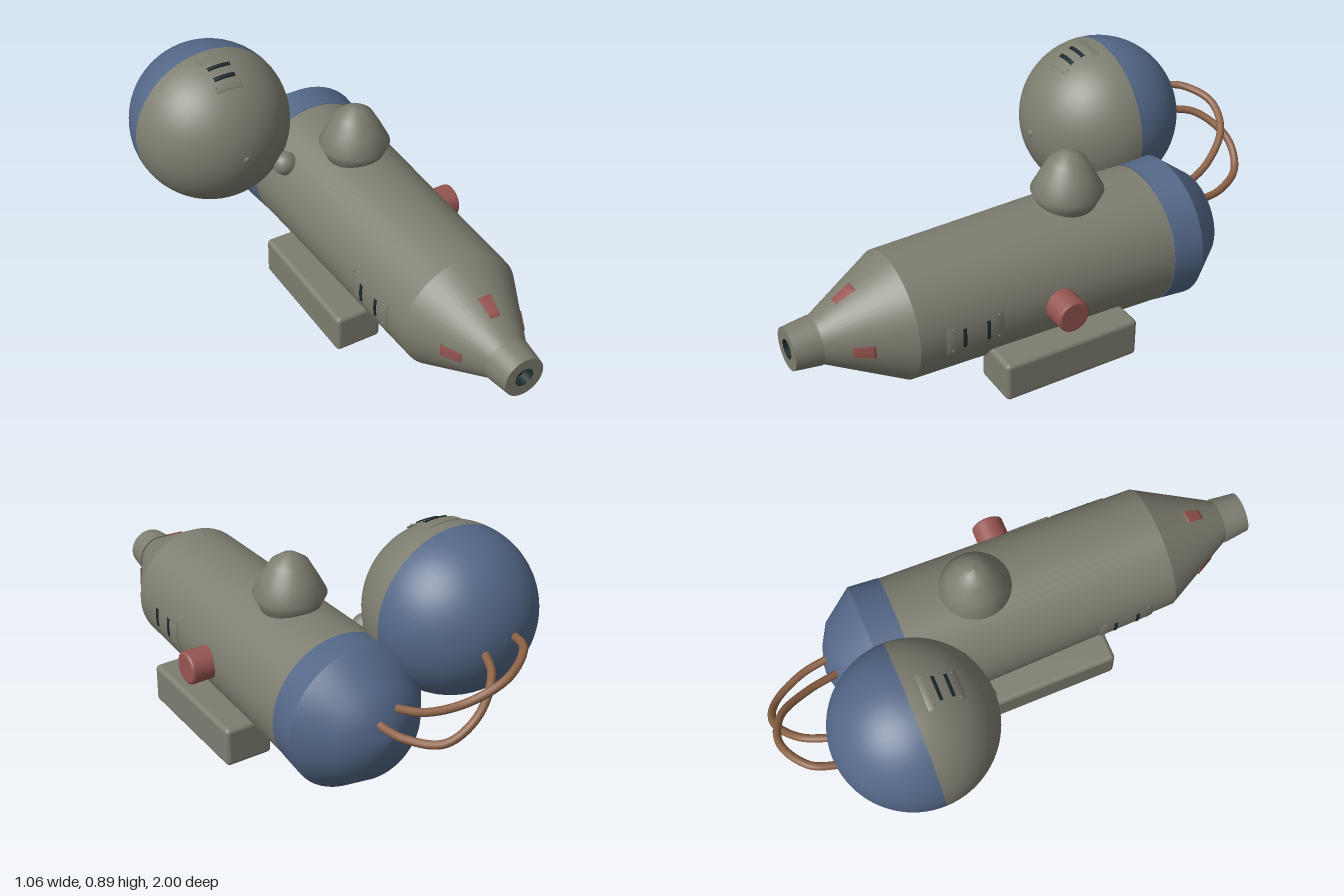
import * as THREE from 'three';
import { RoundedBoxGeometry } from 'three/addons/geometries/RoundedBoxGeometry.js';

const material = (name, color) => {
  const m = new THREE.MeshStandardMaterial({ color, side: THREE.DoubleSide });
  m.name = name;
  return m;
};

export function createModel() {
  const grey = material('hull grey', 0x7d7d70);
  const blue = material('rear blue', 0x536787);
  const red = material('signal red', 0x965551);
  const brown = material('hose brown', 0x8b6146);
  const dark = material('slot dark', 0x1c292d);

  const model = new THREE.Group();
  const body = new THREE.Group();
  body.name = 'body';
  body.position.set(0.19, 0.28, 0);
  const tank = new THREE.Group();
  tank.name = 'sphereTank';
  tank.position.set(-0.22, 0.577, -0.52);
  model.add(body, tank);

  const add = (parent, name, geometry, mat, x = 0, y = 0, z = 0) => {
    const mesh = new THREE.Mesh(geometry, mat);
    mesh.name = name;
    mesh.position.set(x, y, z);
    parent.add(mesh);
    return mesh;
  };
  const vectors = (points) => points.map(([r, h]) => new THREE.Vector2(r, h));

  // Surface turned round the z axis; points are [radius, z] from back to front.
  // Angle PI/2 is the left side, PI the top, 3PI/2 the right side.
  const turned = (points, start = 0, length = Math.PI * 2, segments = 56) =>
    new THREE.LatheGeometry(vectors(points), segments, start, length).rotateX(Math.PI / 2);

  // Curved plate lying on a turned surface whose radius at z is radiusAt(z).
  const plate = (radiusAt, z0, z1, angle, half, rise) => {
    const points = [[radiusAt(z0) - 0.004, z0]];
    for (let i = 0; i <= 6; i++) {
      const z = z0 + (z1 - z0) * i / 6;
      points.push([radiusAt(z) + rise, z]);
    }
    points.push([radiusAt(z1) - 0.004, z1]);
    return turned(points, angle - half, half * 2, 8);
  };

  // Vent: curved panel, two dark slots and four corner bolts
  const vent = (parent, radiusAt, z0, z1, slots, bolts, angle, half) => {
    const group = new THREE.Group();
    group.name = 'vent';
    parent.add(group);
    add(group, 'ventPanel', plate(radiusAt, z0, z1, angle, half, 0.007), grey);
    for (const z of slots) {
      add(group, 'ventSlot', plate(radiusAt, z - 0.006, z + 0.006, angle, half * 0.7, 0.011), dark);
    }
    for (const z of bolts) {
      for (const side of [-1, 1]) {
        const a = angle + side * half * 0.82;
        const r = radiusAt(z) + 0.006;
        add(group, 'ventBolt', new THREE.SphereGeometry(0.005, 8, 6), grey,
          r * Math.sin(a), -r * Math.cos(a), z);
      }
    }
  };

  // Main hull, with a crisp edge between the bands
  add(body, 'hull', turned([[0.265, -0.43], [0.24, 0.61]]), grey);
  add(body, 'noseCone', turned([[0.24, 0.61], [0.085, 0.9]]), grey);
  add(body, 'nozzle', turned([[0.091, 0.9], [0.079, 1]]), grey);
  add(body, 'nozzleCollar', turned([[0.08, 0.9], [0.091, 0.9]]), grey);
  add(body, 'nozzleRim', new THREE.RingGeometry(0.037, 0.079, 48), grey, 0, 0, 1);
  add(body, 'nozzleBore', turned([[0.037, 0.96], [0.037, 1]]), dark);
  add(body, 'nozzleBack', new THREE.CircleGeometry(0.037, 32), dark, 0, 0, 0.96);

  // Blue stern
  add(body, 'sternBand', turned([[0.276, -0.55], [0.267, -0.43]]), blue);
  add(body, 'sternCap', turned(
    [[0, -0.743], [0.03, -0.74], [0.1, -0.72], [0.18, -0.675], [0.276, -0.55]]), blue);

  // Four red markers around the nose cone
  const coneRadius = (z) => 0.24 - (z - 0.61) * 0.534;
  for (let i = 0; i < 4; i++) {
    add(body, 'noseMarker', plate(coneRadius, 0.745, 0.815, i * Math.PI / 2, 0.15, 0.005), red);
  }

  // Side vents
  const hullRadius = (z) => 0.24 + (0.61 - z) * 0.024;
  for (const angle of [Math.PI / 2, Math.PI * 1.5]) {
    vent(body, hullRadius, 0.29, 0.51, [0.352, 0.445], [0.308, 0.49], angle, 0.22);
  }

  // Dome on the back of the hull
  add(model, 'topDome', new THREE.LatheGeometry(vectors([
    [0.1, 0.5], [0.115, 0.535], [0.135, 0.577], [0.105, 0.635], [0.07, 0.697], [0.03, 0.725], [0, 0.731],
  ]), 40), grey, 0.19, 0, -0.12);

  // Red knob on the left side
  add(model, 'sideKnob', new THREE.LatheGeometry(vectors([
    [0.063, 0], [0.063, 0.11], [0.061, 0.116], [0.055, 0.12], [0.054, 0.12], [0, 0.12],
  ]), 36).rotateZ(-Math.PI / 2), red, 0.411, 0.277, 0.055);

  // Landing blocks
  for (const side of [-1, 1]) {
    add(model, 'landingBlock', new RoundedBoxGeometry(0.186, 0.155, 0.55, 3, 0.018), grey,
      0.19 + side * 0.241, 0.0775, 0.05);
  }

  // Spherical tank, front half grey and rear half blue
  const half = (sign) => {
    const points = [];
    for (let i = 0; i <= 20; i++) {
      const a = (i / 20) * Math.PI / 2 - (sign < 0 ? Math.PI / 2 : 0);
      points.push([0.31 * Math.cos(a), 0.31 * Math.sin(a)]);
    }
    return turned(points);
  };
  add(tank, 'tankFront', half(1), grey);
  add(tank, 'tankRear', half(-1), blue);
  add(tank, 'tankTip', new THREE.SphereGeometry(0.016, 16, 10), grey, 0, 0, 0.3);
  vent(tank, (z) => Math.sqrt(0.31 * 0.31 - z * z), 0.05, 0.19,
    [0.105, 0.15], [0.072, 0.175], Math.PI, 0.22);

  // Rounded strut joining tank and hull
  const strut = add(model, 'strut', new THREE.CapsuleGeometry(0.046, 0.14, 8, 24), grey, 0.03, 0.405, -0.28);
  strut.rotation.z = Math.PI * 0.3;

  // Two hoses looping from the tank to the stern
  const hoses = [
    [[-0.265, 0.59, -0.8], [-0.225, 0.6, -0.91], [-0.1, 0.565, -0.984], [0.02, 0.5, -0.95],
      [0.1, 0.42, -0.83], [0.14, 0.375, -0.69]],
    [[-0.15, 0.557, -0.8], [-0.095, 0.535, -0.91], [0.02, 0.455, -0.984], [0.12, 0.375, -0.955],
      [0.195, 0.35, -0.83], [0.22, 0.35, -0.69]],
  ];
  for (const points of hoses) {
    const path = new THREE.CatmullRomCurve3(points.map((p) => new THREE.Vector3(...p)));
    add(model, 'hose', new THREE.TubeGeometry(path, 48, 0.015, 12), brown);
  }

  return model;
}
